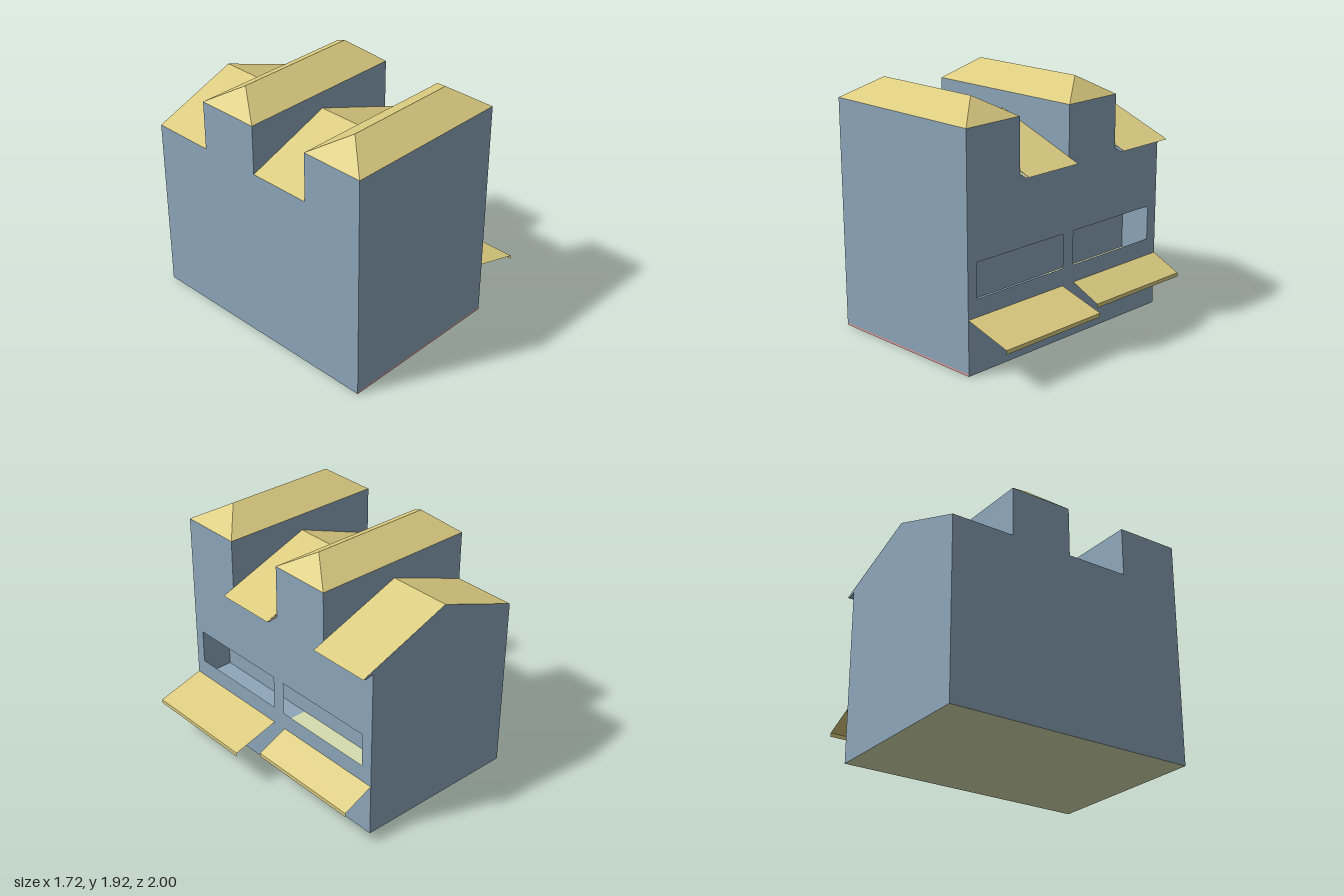
import * as THREE from 'three';

const paint = (name, color) => {
  const m = new THREE.MeshStandardMaterial({ color, side: THREE.DoubleSide });
  m.name = name;
  return m;
};

export function createModel() {
  const model = new THREE.Group();
  model.name = 'building';
  const wall = paint('wallBlue', 0x8ca6ba);
  const roof = paint('roofYellow', 0xdccc80);
  const pale = paint('paleGreen', 0xd6dcae);
  const pink = paint('trimPink', 0xe09a98);

  // Mesh made of flat convex faces, each a list of corners (counter-clockwise from outside)
  function faces(name, material, polygons) {
    const pos = [];
    for (const p of polygons)
      for (let i = 1; i < p.length - 1; i++) pos.push(...p[0], ...p[i], ...p[i + 1]);
    const g = new THREE.BufferGeometry();
    g.setAttribute('position', new THREE.Float32BufferAttribute(pos, 3));
    g.computeVertexNormals();
    const mesh = new THREE.Mesh(g, material);
    mesh.name = name;
    model.add(mesh);
  }
  // Upright rectangle across the building at a given z
  const acrossZ = (z, y0, y1, dir) => {
    const p = [[L, y0, z], [R, y0, z], [R, y1, z], [L, y1, z]];
    return dir > 0 ? p : p.reverse();
  };

  const L = -0.86, R = 0.49;             // side walls
  const EAVE = 1.386, TALL = 1.77, TOP = 1.92;
  const RIDGE_X = -0.18, RIDGE_Y = 1.64;

  // Side walls: stepped outline, the right one with two openings
  const outline = [[-1, 0], [1, 0], [1, TALL], [0.5, TALL], [0.5, EAVE], [0, EAVE],
    [0, TALL], [-0.5, TALL], [-0.5, EAVE], [-1, EAVE]];
  const openings = [[0.055, 0.92], [-0.905, -0.055]];
  const W0 = 0.555, W1 = 0.82;
  function sideWall(name, x, sign, holes) {
    const path = (pts) => pts.map(([z, y]) => new THREE.Vector2(-z * sign, y));
    const shape = new THREE.Shape(path(outline));
    for (const [a, b] of holes)
      shape.holes.push(new THREE.Path(path([[a, W0], [b, W0], [b, W1], [a, W1]])));
    const mesh = new THREE.Mesh(new THREE.ShapeGeometry(shape), wall);
    mesh.rotation.y = sign * Math.PI / 2;
    mesh.position.x = x;
    mesh.name = name;
    model.add(mesh);
  }
  sideWall('serviceWall', R, 1, openings);
  sideWall('plainSideWall', L, -1, []);

  // End walls and the upper walls between the bays
  faces('frontWall', wall, [acrossZ(1, 0.015, TALL, 1)]);
  faces('frontBaseTrim', pink, [acrossZ(1, 0, 0.015, 1)]);
  faces('backWall', wall, [[[R, 0, -1], [L, 0, -1], [L, EAVE, -1],
    [RIDGE_X, RIDGE_Y, -1], [R, EAVE, -1]]]);
  faces('bayWalls', wall, [acrossZ(0.5, EAVE, TALL, -1), acrossZ(0, EAVE, TALL, 1),
    acrossZ(-0.5, EAVE, TALL, -1)]);
  faces('base', pale, [[[L, 0, -1], [R, 0, -1], [R, 0, 1], [L, 0, 1]]]);

  // Room behind the openings
  const B = 0.24, F = 0.43, Z0 = -0.905, Z1 = 0.92;
  const level = (y, z0, z1) => [[B, y, z1], [R, y, z1], [R, y, z0], [B, y, z0]];
  faces('roomWalls', wall, [
    [[B, F, Z1], [B, F, Z0], [B, W1, Z0], [B, W1, Z1]],
    [[B, F, Z0], [R, F, Z0], [R, W1, Z0], [B, W1, Z0]],
    [[R, F, Z1], [B, F, Z1], [B, W1, Z1], [R, W1, Z1]],
    level(W1, Z0, Z1).reverse(),
    level(F, 0, Z1),
  ]);
  faces('backRoomFloor', pale, [level(F, Z0, 0)]);

  // Hipped roofs on the tall bays
  for (const [name, z0, z1, x0, x1] of [
    ['frontHipRoof', 0.5, 1, -0.64, 0.27], ['backHipRoof', -0.5, 0, -0.68, 0.31]]) {
    const zm = (z0 + z1) / 2;
    const a = [L, TALL, z1], b = [R, TALL, z1], c = [R, TALL, z0], d = [L, TALL, z0];
    const p = [x0, TOP, zm], q = [x1, TOP, zm];
    faces(name, roof, [[a, b, q, p], [b, c, q], [c, d, p, q], [d, a, p]]);
  }

  // Gabled roofs on the low bays, with a small wedge-shaped eave
  for (const [side, z0, z1, soffit, cap] of [
    ['front', 0, 0.5, pink, pale], ['back', -1, -0.5, wall, wall]]) {
    const slope = (x0, y0, x1, y1) => [[x0, y0, z1], [x1, y1, z1], [x1, y1, z0], [x0, y0, z0]];
    faces(side + 'GableRoof', roof, [
      slope(L, EAVE, RIDGE_X, RIDGE_Y), slope(RIDGE_X, RIDGE_Y, 0.58, 1.354)]);
    faces(side + 'Soffit', soffit, [
      slope(0.55, 1.345, R, 1.36), slope(0.58, 1.354, 0.55, 1.345)]);
    const end = (z) => [[R, 1.36, z], [0.55, 1.345, z], [0.58, 1.354, z], [R, EAVE, z]];
    faces(side + 'EaveEnds', cap, [end(z1), end(z0).reverse()]);
  }

  // Sloping awnings with a short hanging lip
  for (const [name, z0, z1, x] of [
    ['frontAwning', 0.055, 1, 0.86], ['backAwning', -1, -0.06, 0.73]]) {
    faces(name, roof, [
      [[R, 0.42, z1], [x, 0.31, z1], [x, 0.31, z0], [R, 0.42, z0]],
      [[x, 0.28, z1], [x, 0.28, z0], [x, 0.31, z0], [x, 0.31, z1]],
    ]);
  }
  return model;
}
